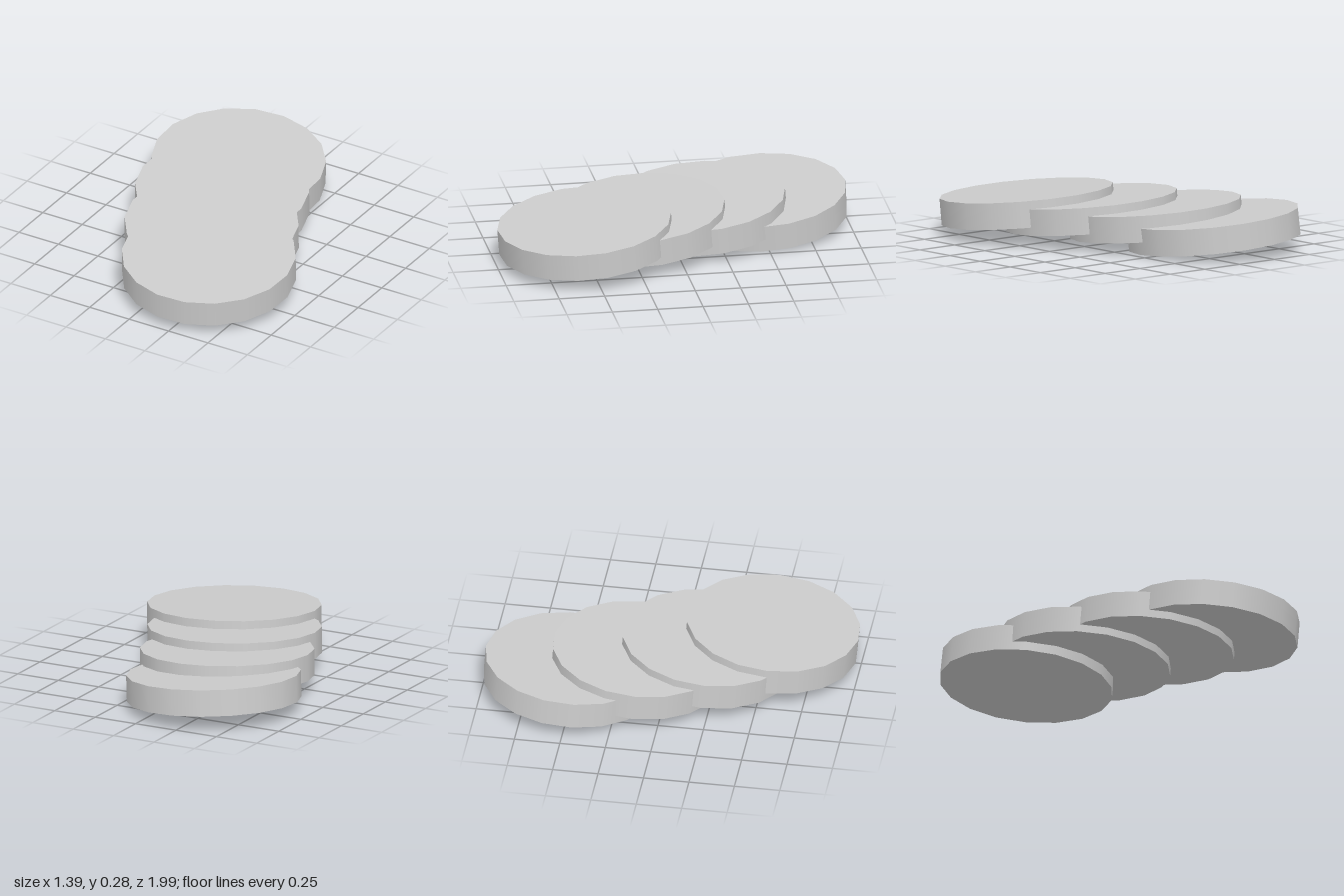
import * as THREE from 'three';

const RADIUS = 0.475, THICKNESS = 0.146, SIDES = 18;

// Each disc: centre of its top face, tilt (lean of its normal in x and z), and turn in degrees
const DISCS = [
  { name: 'backDisc', top: [-0.219, 0.195, -0.517], lean: [0.07, 0.07], turn: 10 },
  { name: 'middleBackDisc', top: [-0.111, 0.222, -0.163], lean: [0.045, 0.077], turn: 6 },
  { name: 'middleFrontDisc', top: [0.039, 0.232, 0.197], lean: [0.04, 0.079], turn: 5.5 },
  { name: 'frontDisc', top: [0.217, 0.243, 0.522], lean: [0.038, 0.083], turn: 5 },
];

export function createModel() {
  const group = new THREE.Group();
  group.name = 'fannedDiscs';
  const material = new THREE.MeshStandardMaterial({ color: 0xcccccc });
  const up = new THREE.Vector3(0, 1, 0);

  // Row of overlapping discs, each leaning on the one behind it
  for (const { name, top, lean, turn } of DISCS) {
    const start = THREE.MathUtils.degToRad(90 + turn);
    const geometry = new THREE.CylinderGeometry(RADIUS, RADIUS, THICKNESS, SIDES, 1, false, start);
    geometry.translate(0, -THICKNESS / 2, 0);
    const disc = new THREE.Mesh(geometry, material);
    disc.name = name;
    disc.position.set(...top);
    disc.quaternion.setFromUnitVectors(up, new THREE.Vector3(lean[0], 1, lean[1]).normalize());
    group.add(disc);
  }
  return group;
}
